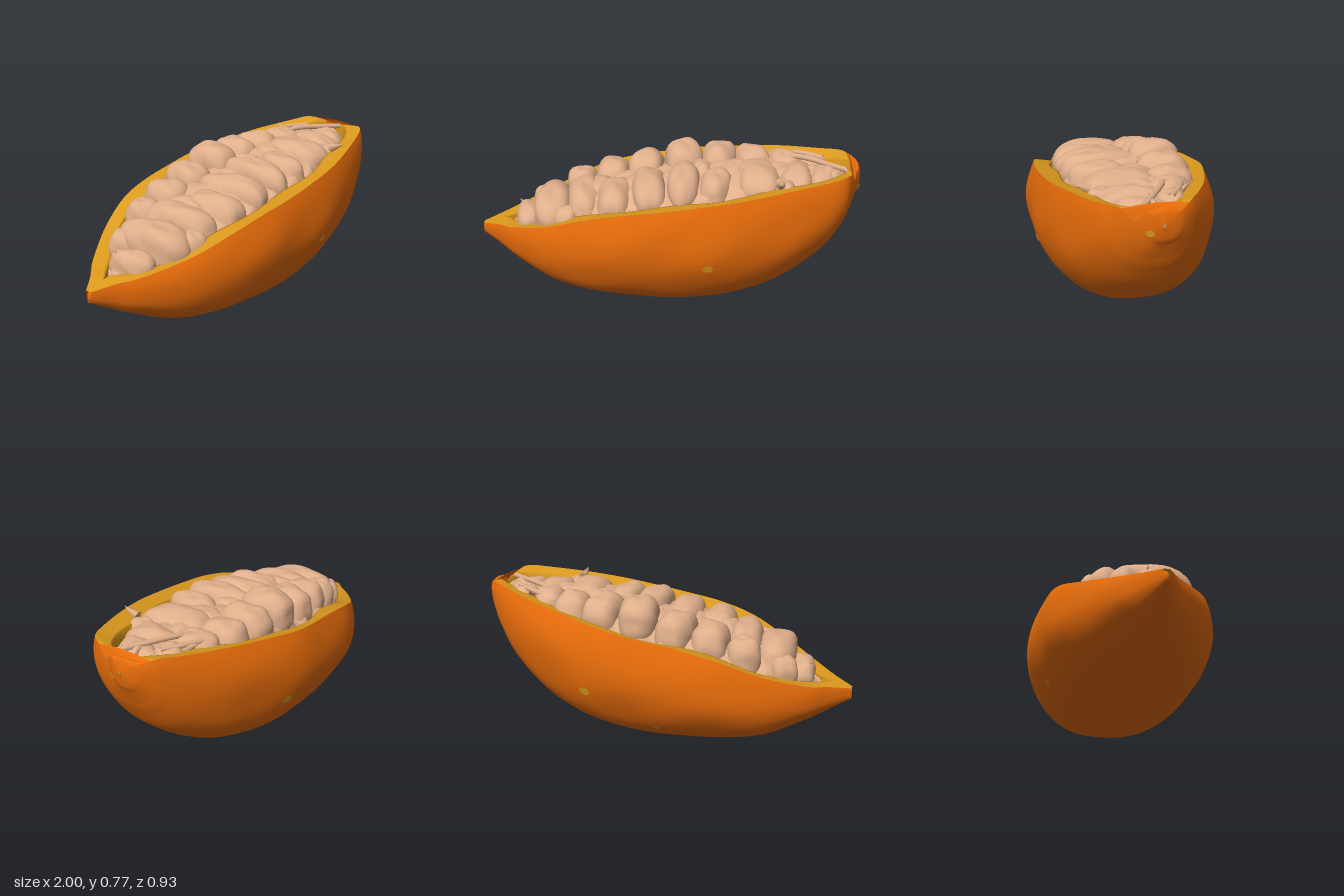
import * as THREE from 'three';

const mat = (name, color, side = THREE.FrontSide) => {
  const m = new THREE.MeshStandardMaterial({ color, side });
  m.name = name;
  return m;
};

// Stations along the pod: x, rim height, bottom height, back half width, front half width
const stations = [
  [-1, 0.34, 0.28, 0.015, 0.02], [-0.9, 0.365, 0.22, 0.1, 0.09], [-0.8, 0.39, 0.165, 0.2, 0.18],
  [-0.6, 0.46, 0.07, 0.34, 0.32], [-0.4, 0.54, 0.03, 0.42, 0.41], [-0.2, 0.59, 0.012, 0.455, 0.45],
  [0, 0.62, 0.002, 0.467, 0.46], [0.2, 0.65, 0.013, 0.46, 0.455], [0.4, 0.68, 0.05, 0.42, 0.43],
  [0.6, 0.71, 0.13, 0.35, 0.38], [0.8, 0.735, 0.28, 0.245, 0.305], [0.9, 0.75, 0.42, 0.18, 0.25],
  [0.94, 0.745, 0.5, 0.145, 0.18], [0.97, 0.735, 0.565, 0.11, 0.09], [0.988, 0.72, 0.6, 0.075, 0.055],
  [1, 0.67, 0.66, 0.008, 0.008],
];
const curve = (a, b) => new THREE.CatmullRomCurve3(
  stations.map(s => new THREE.Vector3(s[0], s[a], s[b])), false, 'catmullrom', 0.5);
const heights = curve(1, 2), widths = curve(3, 4);
const ARC = Math.PI * 2 / 3;
const bell = (v, mid, width) => Math.exp(-(((v - mid) / width) ** 2));

function station(t) {
  const h = heights.getPoint(t), w = widths.getPoint(t);
  return { x: h.x, top: h.y, bottom: h.z, back: w.y, front: w.z };
}

// Husk point: u runs from the back rim (-1) under the pod to the front rim (1)
function husk(t, u) {
  const s = station(t), a = Math.abs(u) * ARC;
  const w = u < 0 ? s.back : s.front;
  const k = (1 - Math.cos(a)) / (1 - Math.cos(ARC));
  const lump = Math.sin(s.x * 8 + u * 4) * Math.sin(u * 9 - s.x * 5)
    + 0.5 * Math.sin(s.x * 13 - u * 6) * Math.cos(u * 13 + s.x * 3);
  const r = 1 + 0.02 * lump * Math.min(1, k * 3) * (1 - k * 0.6);
  const inward = u < 0 ? 0.7 + 0.4 * THREE.MathUtils.smoothstep(s.x, 0.1, 0.6) : 0.65;
  const z = Math.sign(u) * w * Math.sin(a) ** (a > Math.PI / 2 ? inward : 0.8) * r;
  // crease beside the stem
  const crease = 0.05 * bell(z, 0.12, 0.035) * bell(s.x, 0.95, 0.035) * k ** 4;
  return new THREE.Vector3(s.x, s.bottom + (s.top - s.bottom) * k - crease, z);
}

// Sheet of rows along x, with the columns given by fn(t, v)
function sheet(rows, cols, t0, t1, fn) {
  const pos = [], index = [];
  for (let i = 0; i <= rows; i++) {
    for (let j = 0; j <= cols; j++) {
      const p = fn(t0 + (t1 - t0) * i / rows, j / cols);
      pos.push(p.x, p.y, p.z);
      if (i < rows && j < cols) {
        const a = i * (cols + 1) + j, b = a + cols + 1;
        index.push(a, b, a + 1, b, b + 1, a + 1);
      }
    }
  }
  const g = new THREE.BufferGeometry();
  g.setAttribute('position', new THREE.Float32BufferAttribute(pos, 3));
  g.setIndex(index);
  g.computeVertexNormals();
  return g;
}

// Cut face: flat rim, inner wall, then the cavity floor
function flesh(t, v) {
  const side = v < 0.5 ? 1 : -1;
  const rim = husk(t, side), k = 1 - Math.abs(v * 2 - 1);
  const outer = Math.abs(rim.z);
  const thick = side > 0 ? 0.1 : 0.09 - 0.025 * bell(rim.x, 0.1, 0.25);
  const inner = Math.max(0, outer - thick - 0.012 * Math.sin(rim.x * 13 + side));
  const dip = 0.02 * Math.min(1, inner * 8), depth = Math.min(0.22, inner * 1.2);
  const z = k < 0.4 ? outer + (inner - outer) * k / 0.4
    : k < 0.7 ? inner * (1 - 0.15 * (k - 0.4) / 0.3) : inner * 0.85 * (1 - k) / 0.3;
  const drop = k < 0.4 ? dip * k / 0.4 : dip + depth * Math.min(1, (k - 0.4) / 0.3);
  return new THREE.Vector3(rim.x, rim.y - drop, side * z);
}

// Orange husk folded over the stem end
function stemFold(t, v) {
  const p = husk(t, 1).lerp(husk(t, -1), v);
  p.y += 0.012 * Math.sin(v * Math.PI);
  return p;
}

// Wrinkled mound of pulp that the beans sit in
function pulpBed(t, v) {
  const s = station(t), c = 1 - 2 * v;
  const edge = 0.012 * Math.sin(s.x * 37 + Math.sign(c)) + 0.008 * Math.sin(s.x * 61);
  const w = Math.max(0.02, Math.abs(husk(t, Math.sign(c) || 1).z) - 0.105 + edge);
  const crown = Math.sqrt(Math.max(0, 1 - c * c));
  const y = s.top - 0.08 - 0.05 * THREE.MathUtils.smoothstep(s.x, 0.3, 0.8)
    + crown * Math.min(0.12, 0.03 + w * 0.5)
    + 0.012 * Math.sin(s.x * 31 + c * 5) * Math.cos(c * 9 + s.x * 6);
  return new THREE.Vector3(s.x, y, c * w);
}

// Wrinkled bean with a softly squared outline
function beanGeometry(seed) {
  const g = new THREE.SphereGeometry(1, 28, 18), p = g.attributes.position, q = new THREE.Vector3();
  for (let i = 0; i < p.count; i++) {
    q.fromBufferAttribute(p, i);
    const r = 1 + 0.24 * (1 - q.x ** 4 - q.y ** 4 - q.z ** 4)
      + 0.045 * Math.sin(q.x * 5 + seed) * Math.sin(q.z * 4 + seed * 2) + 0.025 * Math.sin(q.y * 7 + q.z * 6 + seed);
    p.setXYZ(i, q.x * r, q.y * r, q.z * r);
  }
  g.computeVertexNormals();
  return g;
}

export function createModel() {
  const group = new THREE.Group();
  const orange = mat('husk orange', 0xe86c0a, THREE.DoubleSide);
  const yellow = mat('flesh yellow', 0xde9b1e, THREE.DoubleSide);
  const tan = mat('pulp tan', 0xe0af8b, THREE.DoubleSide);
  const add = (name, geo, m) => {
    const mesh = new THREE.Mesh(geo, m);
    mesh.name = name;
    group.add(mesh);
    return mesh;
  };

  add('husk', sheet(96, 56, 0, 1, (t, v) => husk(t, v * 2 - 1)), orange);
  add('cutFlesh', sheet(84, 40, 0, 0.817, flesh), yellow);
  add('stemFold', sheet(18, 16, 0.793, 1, stemFold), orange);
  add('pulpBed', sheet(90, 32, 0.107, 0.79, pulpBed), tan);

  // Closed end opposite the stem
  const tip = add('pointedTip', new THREE.SphereGeometry(1, 16, 10), orange);
  tip.position.set(-0.985, 0.308, 0);
  tip.scale.set(0.015, 0.028, 0.018);

  // Beans: x, z, half width, half length, top height, turn
  const beans = [
    [-0.74, 0.03, 0.065, 0.12, 0.465, 0.2], [-0.6, 0.04, 0.1, 0.2, 0.57, 0.1], [-0.43, 0.05, 0.09, 0.2, 0.615, 0.15],
    [-0.26, 0.13, 0.095, 0.17, 0.645, 0.05], [-0.085, 0.1, 0.095, 0.2, 0.685, 0.1], [0.095, 0.1, 0.085, 0.2, 0.725, 0],
    [0.26, 0.14, 0.08, 0.15, 0.725, -0.1], [0.47, 0.08, 0.12, 0.19, 0.745, 0.1], [0.67, 0.06, 0.09, 0.17, 0.735, -0.1],
    [0.81, 0.05, 0.065, 0.13, 0.73, -0.3], [-0.47, -0.16, 0.085, 0.09, 0.605, 0.4], [-0.3, -0.16, 0.095, 0.12, 0.66, 0.1],
    [-0.12, -0.18, 0.095, 0.13, 0.705, -0.1], [0.08, -0.18, 0.1, 0.135, 0.765, 0.1], [0.27, -0.18, 0.095, 0.135, 0.755, -0.1],
    [0.45, -0.17, 0.095, 0.12, 0.75, 0.25], [0.61, -0.12, 0.085, 0.12, 0.745, 0.5], [0.76, -0.09, 0.075, 0.075, 0.735, 0.4],
    [-0.66, -0.1, 0.07, 0.08, 0.515, 0.5], [-0.34, 0.02, 0.07, 0.12, 0.62, 0.1], [0.36, -0.01, 0.07, 0.1, 0.725, 0],
    [0.6, 0.2, 0.06, 0.07, 0.715, 0.3], [0.18, -0.03, 0.06, 0.1, 0.71, 0], [-0.5, 0.2, 0.06, 0.07, 0.535, -0.3],
  ];
  beans.forEach(([x, z, rx, rz, top, turn], i) => {
    const ry = Math.min(0.12, rx * 1.3);
    const m = add('bean' + (i + 1), beanGeometry(i * 1.7), tan);
    m.position.set(x, top - ry, z);
    m.scale.set(rx, ry, rz);
    m.rotation.y = turn;
  });

  // Pulp threads at the stem end
  const strands = [
    [[0.56, 0.72, -0.12], [0.7, 0.74, -0.06], [0.83, 0.735, 0.02], [0.92, 0.73, 0.08]],
    [[0.62, 0.72, -0.18], [0.72, 0.73, -0.14], [0.81, 0.73, -0.08]],
  ];
  strands.forEach((pts, i) => {
    const path = new THREE.CatmullRomCurve3(pts.map(p => new THREE.Vector3(...p)));
    add('pulpStrand' + (i + 1), new THREE.TubeGeometry(path, 20, 0.014, 7), tan);
  });

  // Torn skin points: base position and lean about x and z
  const points = [[-0.77, 0.44, -0.03, 0, 0.8], [0.58, 0.725, 0.29, 1.2, 0], [0.7, 0.72, -0.17, -1, 0.3]];
  points.forEach(([x, y, z, rx, rz], i) => {
    const m = add('tornPulp' + (i + 1), new THREE.ConeGeometry(0.025, 0.09, 6), tan);
    m.position.set(x, y, z);
    m.rotation.set(rx, 0, rz);
  });

  // Small pale scars lying on the husk
  const scars = [[0.477, 0.63, 0.028], [0.495, -0.6, 0.032], [0.373, -0.42, 0.016], [0.915, 0.5, 0.022]];
  scars.forEach(([t, u, r], i) => {
    const e = 0.004, p = husk(t, u);
    const n = husk(t + e, u).sub(p).cross(husk(t, u + e).sub(p)).normalize();
    const m = add('scar' + (i + 1), new THREE.CircleGeometry(r, 9), yellow);
    m.position.copy(p).addScaledVector(n, 0.006);
    m.lookAt(m.position.clone().add(n));
    m.scale.y = 0.75;
  });
  return group;
}
